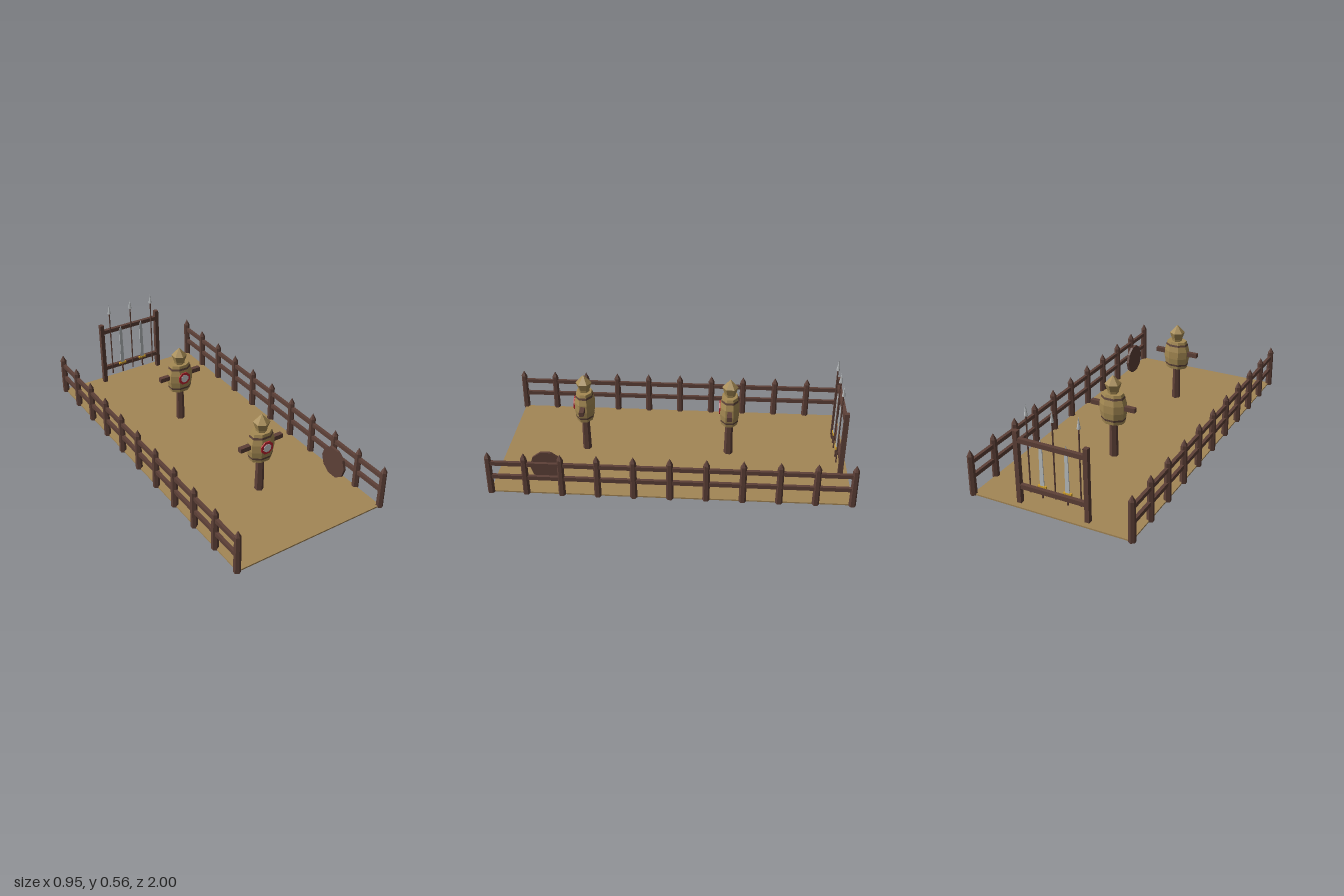
import * as THREE from 'three';

const mat = (name, color) => {
  const m = new THREE.MeshStandardMaterial({ color, flatShading: true });
  m.name = name;
  return m;
};

export function createModel() {
  const wood = mat('wood', 0x5d4037);
  const sand = mat('sand', 0xa38656);
  const straw = mat('straw', 0xa58a53);
  const steel = mat('steel', 0xb8bcbe);
  const red = mat('target red', 0xc02530);
  const white = mat('target white', 0xd4d4d4);
  const gold = mat('gold', 0xcf9f2c);
  const band = mat('rope band', 0x5f453a);
  band.side = THREE.DoubleSide;

  const model = new THREE.Group();
  model.name = 'trainingYard';

  const add = (parent, name, geometry, material, x = 0, y = 0, z = 0) => {
    const mesh = new THREE.Mesh(geometry, material);
    mesh.name = name;
    mesh.position.set(x, y, z);
    parent.add(mesh);
    return mesh;
  };
  const group = (name, x, y, z) => {
    const g = new THREE.Group();
    g.name = name;
    g.position.set(x, y, z);
    model.add(g);
    return g;
  };
  const box = (w, h, d) => new THREE.BoxGeometry(w, h, d);
  const lathe = (pts, sides, phi = 0) =>
    new THREE.LatheGeometry(pts.map(([r, y]) => new THREE.Vector2(r, y)), sides, phi);

  // Ground slab
  add(model, 'ground', box(0.916, 0.008, 1.97), sand, 0, 0.004, 0);

  // Side fences: pointed hexagonal posts and two rails each
  const postGeo = lathe([[0, 0], [0.02, 0], [0.018, 0.225], [0, 0.26]], 6);
  for (const side of [1, -1]) {
    const fence = group(side > 0 ? 'leftFence' : 'rightFence', side * 0.458, 0, 0);
    for (let i = 0; i < 11; i++) add(fence, 'fencePost', postGeo, wood, 0, 0, -0.98 + i * 0.196);
    for (const y of [0.105, 0.19]) add(fence, 'fenceRail', box(0.018, 0.023, 1.96), wood, 0, y, 0);
  }

  // Practice dummies
  const eighth = Math.PI / 8;
  const bodyGeo = lathe([[0, 0.217], [0.066, 0.217], [0.079, 0.285], [0.079, 0.33], [0.061, 0.392], [0, 0.392]], 8, eighth);
  const headGeo = lathe([[0, 0.39], [0.03, 0.39], [0.032, 0.406], [0.046, 0.446], [0, 0.494]], 6);
  const bandGeos = [
    lathe([[0.071, 0.236], [0.0735, 0.248]], 8, eighth),
    lathe([[0.0705, 0.364], [0.0672, 0.376]], 8, eighth),
  ];
  const disc = (r, d) => new THREE.CylinderGeometry(r, r, d, 8).rotateX(Math.PI / 2).rotateZ(eighth);
  for (const z of [0.52, -0.31]) {
    const dummy = group('dummy', 0, 0, z);
    add(dummy, 'dummyPost', new THREE.CylinderGeometry(0.021, 0.026, 0.25, 6), wood, 0, 0.125, 0);
    add(dummy, 'dummyBody', bodyGeo, straw).scale.z = 0.74;
    for (const g of bandGeos) add(dummy, 'dummyBand', g, band).scale.z = 0.74;
    add(dummy, 'dummyHead', headGeo, straw);
    add(dummy, 'dummyArms', box(0.27, 0.026, 0.026), wood, 0, 0.313, 0);
    add(dummy, 'targetRing', disc(0.04, 0.006), red, 0, 0.313, 0.056);
    add(dummy, 'targetCentre', disc(0.025, 0.004), white, 0, 0.313, 0.0595);
  }

  // Round wooden shield standing beside the fence
  const shieldGeo = new THREE.CylinderGeometry(0.091, 0.091, 0.015, 10)
    .rotateY(Math.PI / 10).rotateX(Math.PI / 2).rotateY(Math.PI / 2).rotateX(Math.PI);
  add(model, 'shield', shieldGeo, wood, 0.382, 0.133, 0.68);

  // Weapon rack frame
  const rack = group('weaponRack', 0, 0, -0.94);
  for (const x of [-0.197, 0.197]) add(rack, 'rackPost', box(0.025, 0.417, 0.027), wood, x, 0.2085, 0);
  for (const y of [0.105, 0.366]) add(rack, 'rackRail', box(0.38, 0.025, 0.022), wood, 0, y, 0);

  // Spears
  for (const x of [-0.147, 0, 0.147]) {
    const spear = group('spear', x, 0, -0.917);
    add(spear, 'spearShaft', new THREE.CylinderGeometry(0.004, 0.004, 0.435, 6), wood, 0, 0.2825, 0);
    add(spear, 'spearHead', new THREE.ConeGeometry(0.01, 0.063, 6), steel, 0, 0.527, 0);
  }

  // Swords hanging point up
  const blade = new THREE.Shape([[-0.012, 0.12], [0.012, 0.12], [0.009, 0.355], [0, 0.386], [-0.009, 0.355]]
    .map(([x, y]) => new THREE.Vector2(x, y)));
  const bladeGeo = new THREE.ExtrudeGeometry(blade, { depth: 0.005, bevelEnabled: false }).translate(0, 0, -0.0025);
  for (const x of [-0.073, 0.073]) {
    const sword = group('sword', x, 0, -0.921);
    add(sword, 'swordBlade', bladeGeo, steel);
    add(sword, 'swordGuard', box(0.048, 0.012, 0.012), gold, 0, 0.119, 0);
    add(sword, 'swordGrip', new THREE.CylinderGeometry(0.005, 0.005, 0.06, 6), wood, 0, 0.084, 0);
  }

  return model;
}
